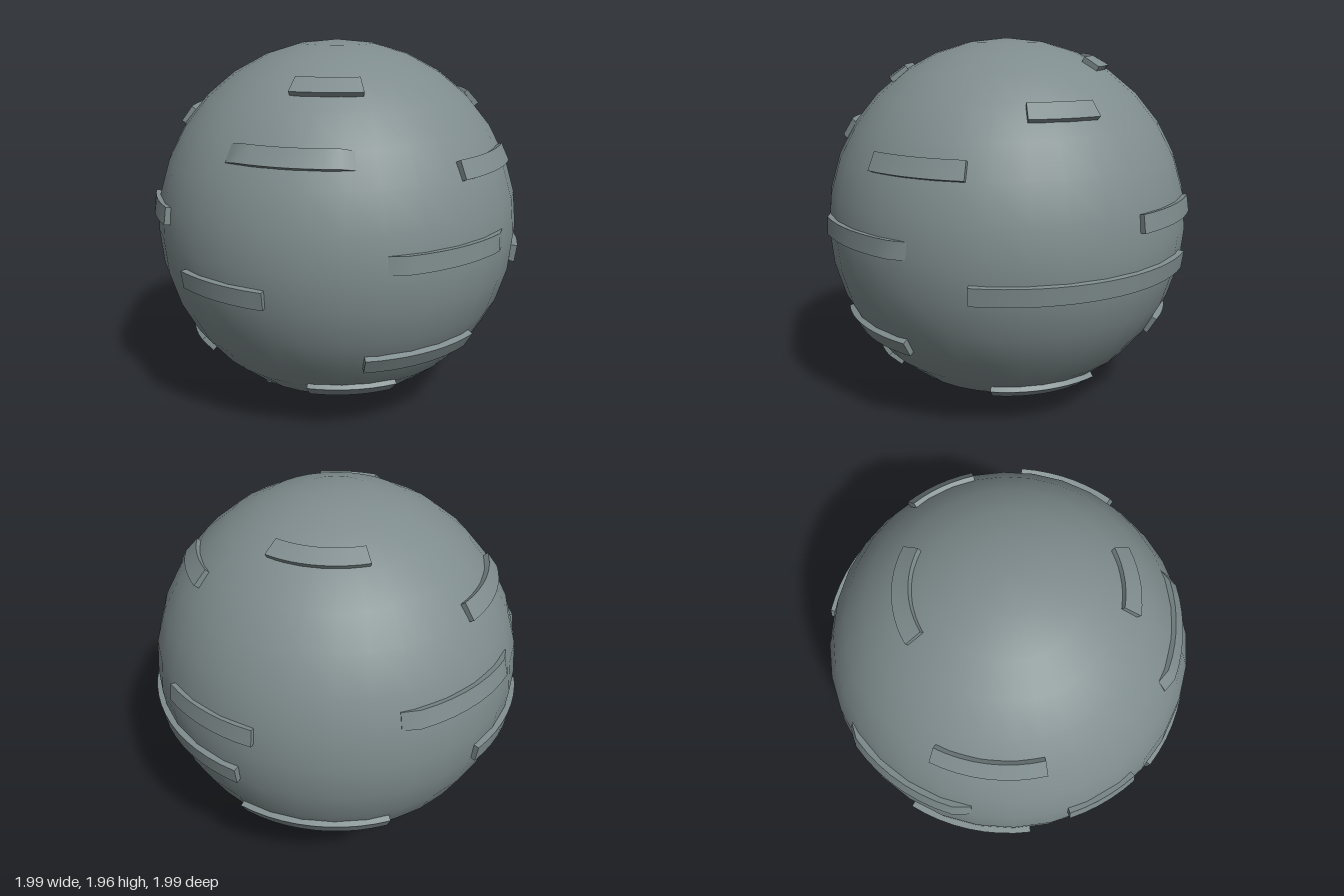
import * as THREE from 'three';
import { toCreasedNormals } from 'three/addons/utils/BufferGeometryUtils.js';

const R = 0.98, OUTER = 1.003, INNER = 0.95;
const rad = THREE.MathUtils.degToRad;

// Point on a sphere: angle 0 is the front, 90 is +x
function point(angle, lat, r) {
  const a = rad(angle), l = rad(lat);
  return [r * Math.cos(l) * Math.sin(a), r * Math.sin(l), r * Math.cos(l) * Math.cos(a)];
}

// Raised plate that follows a line of latitude; tapered plates sink into the ball at the ends
function plateGeometry(a0, a1, lat0, lat1, tapered) {
  const steps = Math.max(4, Math.round((a1 - a0) / 5));
  const pos = [], index = [];
  for (let i = 0; i <= steps; i++) {
    const a = a0 + (a1 - a0) * i / steps;
    const r = tapered && (i === 0 || i === steps) ? R - 0.003 : OUTER;
    pos.push(...point(a, lat0, INNER), ...point(a, lat0, r), ...point(a, lat1, r), ...point(a, lat1, INNER));
  }
  for (let i = 0; i < steps; i++) {
    for (let k = 0; k < 4; k++) {
      const p = i * 4 + k, q = i * 4 + (k + 1) % 4;
      index.push(p, p + 4, q + 4, p, q + 4, q);
    }
  }
  const e = steps * 4;
  index.push(0, 1, 2, 0, 2, 3, e, e + 2, e + 1, e, e + 3, e + 2);
  const g = new THREE.BufferGeometry();
  g.setAttribute('position', new THREE.Float32BufferAttribute(pos, 3));
  g.setIndex(index);
  return toCreasedNormals(g, 0.5);
}

export function createModel() {
  const group = new THREE.Group();
  group.name = 'plated ball';
  const grey = new THREE.MeshStandardMaterial({ color: 0x7f8c8d });
  grey.name = 'slate grey';

  const ball = new THREE.Mesh(new THREE.SphereGeometry(R, 32, 16), grey);
  ball.name = 'ball';
  ball.position.y = R;
  group.add(ball);

  // Plates: start angle, end angle, lower latitude, upper latitude, tapered
  const plates = [
    // upper half
    [109.5, 164, 57.3, 62.8],
    [-57, -24, 51, 57],
    [57.5, 85, 39.5, 45],
    [-163, -124, 33.2, 38.7],
    [-73, -30, 28.2, 33.8, true],
    [5, 38.5, 22.4, 28],
    [165, 212, 11.4, 16.9, true],
    [91, 123.5, 5.7, 11],
    [-118.5, -96, 5.7, 11],
    [-22, 22, 0, 5.2, true],
    // lower half
    [40, 117.5, -10.5, -5.2],
    [-86, -56, -10.5, -5.2],
    [-168, -130, -11, -5.5],
    [113, 165, -33, -27.5],
    [-27, 15.7, -33, -27.5],
    [-145, -98.5, -41, -35.5],
    [-48, -11, -49.3, -43.8],
    [43, 95, -55, -49.5],
    [193, 271, -67, -61.5],
  ];
  plates.forEach((p, i) => {
    const plate = new THREE.Mesh(plateGeometry(...p), grey);
    plate.name = `plate${i + 1}`;
    plate.position.y = R;
    group.add(plate);
  });
  return group;
}
